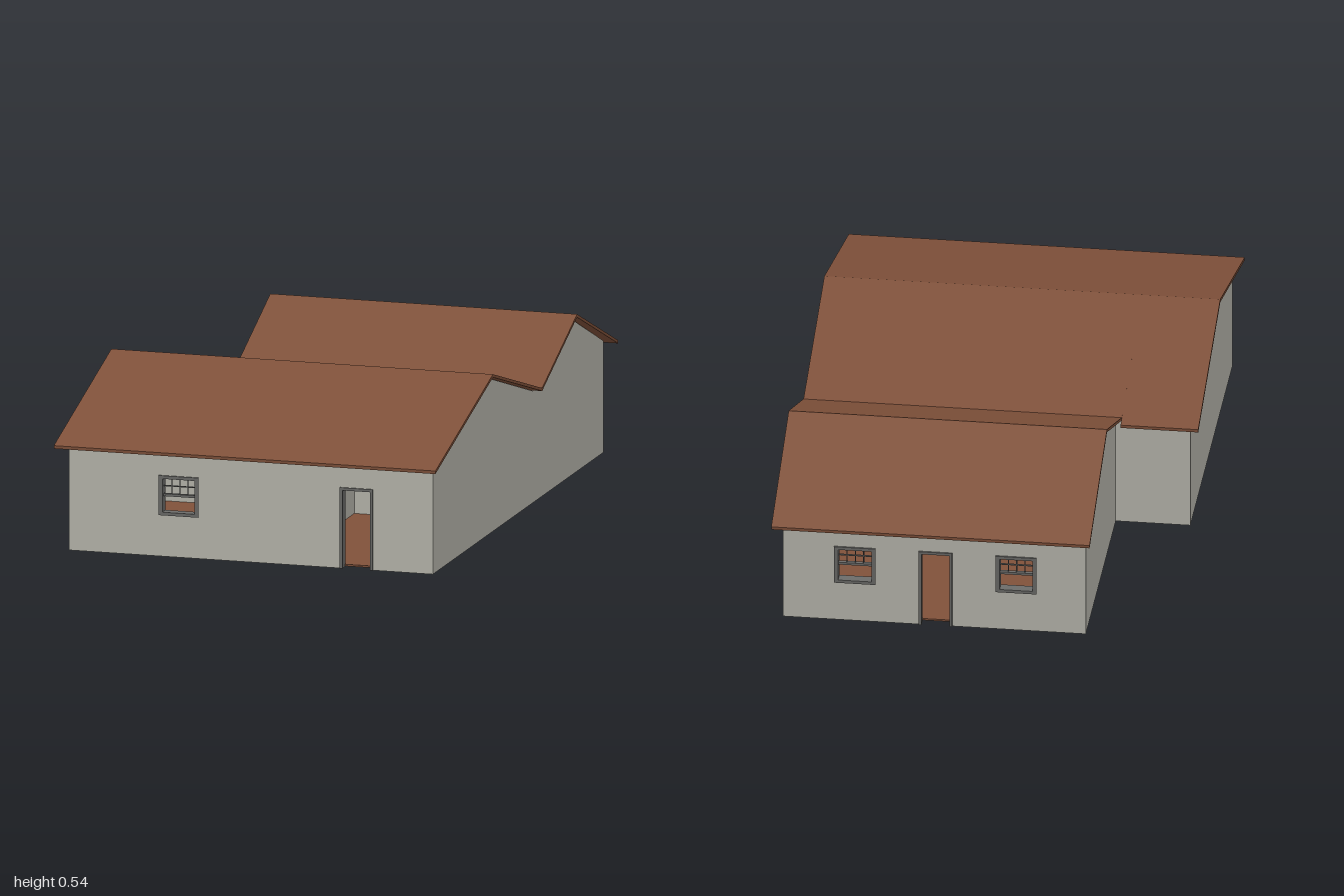
import * as THREE from 'three';

const T = 0.025; // wall thickness
const wallMat = new THREE.MeshStandardMaterial({ color: 0xbcbbb1 });
wallMat.name = 'plaster grey';
const roofMat = new THREE.MeshStandardMaterial({ color: 0x80513a });
roofMat.name = 'tile brown';
const frameMat = new THREE.MeshStandardMaterial({ color: 0x6c6c6a });
frameMat.name = 'frame grey';

function add(parent, name, geometry, material) {
  const mesh = new THREE.Mesh(geometry, material);
  mesh.name = name;
  parent.add(mesh);
  return mesh;
}

const toShape = (pts) => new THREE.Shape(pts.map(([x, y]) => new THREE.Vector2(x, y)));
const extrude = (shape, depth) => new THREE.ExtrudeGeometry(shape, { depth, bevelEnabled: false });

// Upright wall outline from a to b, notched for doors and pierced for windows
function wallShape(a, b, h, doors = [], windows = []) {
  const pts = [[a, 0]];
  for (const [l, r, top] of doors) pts.push([l, 0], [l, top], [r, top], [r, 0]);
  pts.push([b, 0], [b, h], [a, h]);
  const shape = toShape(pts);
  for (const [l, r, y0, y1] of windows) {
    shape.holes.push(new THREE.Path([
      new THREE.Vector2(l, y0), new THREE.Vector2(l, y1),
      new THREE.Vector2(r, y1), new THREE.Vector2(r, y0)]));
  }
  return shape;
}

// Wall running along x, its rear face at z
function wallAlongX(parent, name, z, shape) {
  add(parent, name, extrude(shape, T).translate(0, 0, z), wallMat);
}

// Profile in (z, y) carried along x from x0 to x1
function alongX(parent, name, pts, x0, x1, material) {
  const shape = Array.isArray(pts) ? toShape(pts) : pts;
  const g = extrude(shape, x1 - x0).rotateY(-Math.PI / 2).translate(x1, 0, 0);
  return add(parent, name, g, material);
}

function bar(parent, name, x0, x1, y0, y1, depth) {
  const g = new THREE.BoxGeometry(x1 - x0, y1 - y0, depth);
  return add(parent, name, g.translate((x0 + x1) / 2, (y0 + y1) / 2, 0), frameMat);
}

// Sash window: frame, middle rail and a grid of small bars in the upper half
function addWindow(parent, [l, r, y0, y1], z) {
  const g = new THREE.Group();
  g.name = 'window';
  const w = 0.013, d = T + 0.01, mid = (y0 + y1) / 2;
  bar(g, 'leftFrame', l, l + w, y0, y1, d);
  bar(g, 'rightFrame', r - w, r, y0, y1, d);
  bar(g, 'sill', l + w, r - w, y0, y0 + w * 0.8, d);
  bar(g, 'head', l + w, r - w, y1 - w * 0.8, y1, d);
  bar(g, 'middleRail', l + w, r - w, mid - 0.004, mid + 0.004, 0.014);
  for (let i = 1; i < 4; i++) {
    const x = l + w + (r - l - 2 * w) * i / 4;
    bar(g, 'glazingBar', x - 0.0015, x + 0.0015, mid, y1 - w * 0.8, 0.006);
  }
  const yb = (mid + y1 - w * 0.5) / 2;
  bar(g, 'glazingBar', l + w, r - w, yb - 0.0015, yb + 0.0015, 0.006);
  g.position.z = z;
  parent.add(g);
}

// Open doorway lined with two jambs and a lintel
function addDoorFrame(parent, [l, r, top], z) {
  const g = new THREE.Group();
  g.name = 'doorFrame';
  const w = 0.009, d = T + 0.01;
  bar(g, 'leftJamb', l, l + w, 0, top, d);
  bar(g, 'rightJamb', r - w, r, 0, top, d);
  bar(g, 'lintel', l + w, r - w, top - w, top, d);
  g.position.z = z;
  parent.add(g);
}

export function createModel() {
  const house = new THREE.Group();
  house.name = 'house';
  const xR = 0.605, xL = -0.61, xS = -0.37, zF = 0.93, zB = -0.937, zV = -0.165;

  // Front and back outer walls with their openings
  const frontDoor = [0.295, 0.405, 0.265], backDoor = [0.06, 0.168, 0.265];
  const frontWindow = [-0.31, -0.177, 0.135, 0.265];
  const backWindows = [[-0.212, -0.08, 0.135, 0.265], [0.307, 0.44, 0.135, 0.265]];
  wallAlongX(house, 'frontWall', zF - T, wallShape(xL, xR, 0.355, [frontDoor], [frontWindow]));
  wallAlongX(house, 'backWall', zB, wallShape(xS, xR, 0.36, [backDoor], backWindows));
  addWindow(house, frontWindow, zF - T / 2);
  addDoorFrame(house, frontDoor, zF - T / 2);
  for (const w of backWindows) addWindow(house, w, zB + T / 2);
  addDoorFrame(house, backDoor, zB + T / 2);

  // Gable walls
  alongX(house, 'longGableWall',
    [[zB, 0], [zF, 0], [zF, 0.36], [0.37, 0.526], [zV, 0.366], [-0.55, 0.526], [zB, 0.365]],
    xR - T, xR, wallMat);
  alongX(house, 'frontGableWall',
    [[zV, 0], [zF, 0], [zF, 0.36], [0.37, 0.526], [zV, 0.366]], xL, xL + T, wallMat);
  alongX(house, 'rearGableWall',
    [[zB, 0], [zV, 0], [zV, 0.366], [-0.55, 0.526], [zB, 0.365]], xS, xS + T, wallMat);

  // Inner walls; raised openings leave a threshold strip
  const passage = [0.30, 0.41, 0.008, 0.265];
  wallAlongX(house, 'crossWall', zV, wallShape(xL, xR, 0.365, [], [passage]));
  wallAlongX(house, 'middleWall', 0.16,
    wallShape(xL + T, xR - T, 0.4, [[-0.15, -0.04, 0.265]], [passage]));
  alongX(house, 'roomWall', wallShape(0.185, zF - T, 0.355), 0.09, 0.115, wallMat);
  alongX(house, 'sideRoomWall', wallShape(zV + T, 0.16, 0.36, [[-0.03, 0.07, 0.265]]), xS, xS + T, wallMat);

  // Floors
  const floors = [[xL + T, xR - T, zV + T, zF - T], [xS + T, xR - T, zB + T, zV]];
  for (const [x0, x1, z0, z1] of floors) {
    add(house, 'floor', new THREE.BoxGeometry(x1 - x0, 0.006, z1 - z0)
      .translate((x0 + x1) / 2, 0.005, (z0 + z1) / 2), roofMat);
  }

  // Gabled roofs: front eave, ridge, back eave as [z, y], then x range
  const roofs = [
    ['frontRoof', [1, 0.355], [0.37, 0.537], [-0.168, 0.377], -0.39, 0.635],
    ['frontRoofEnd', [1, 0.355], [0.37, 0.537], [-0.2, 0.367], -0.64, -0.39],
    ['rearRoof', [-0.168, 0.377], [-0.55, 0.537], [-1, 0.355], -0.39, 0.635],
  ];
  const drop = ([z, y]) => [z, y - 0.01];
  for (const [name, a, b, c, x0, x1] of roofs) {
    alongX(house, name, [a, b, c, drop(c), drop(b), drop(a)], x0, x1, roofMat);
  }
  return house;
}
